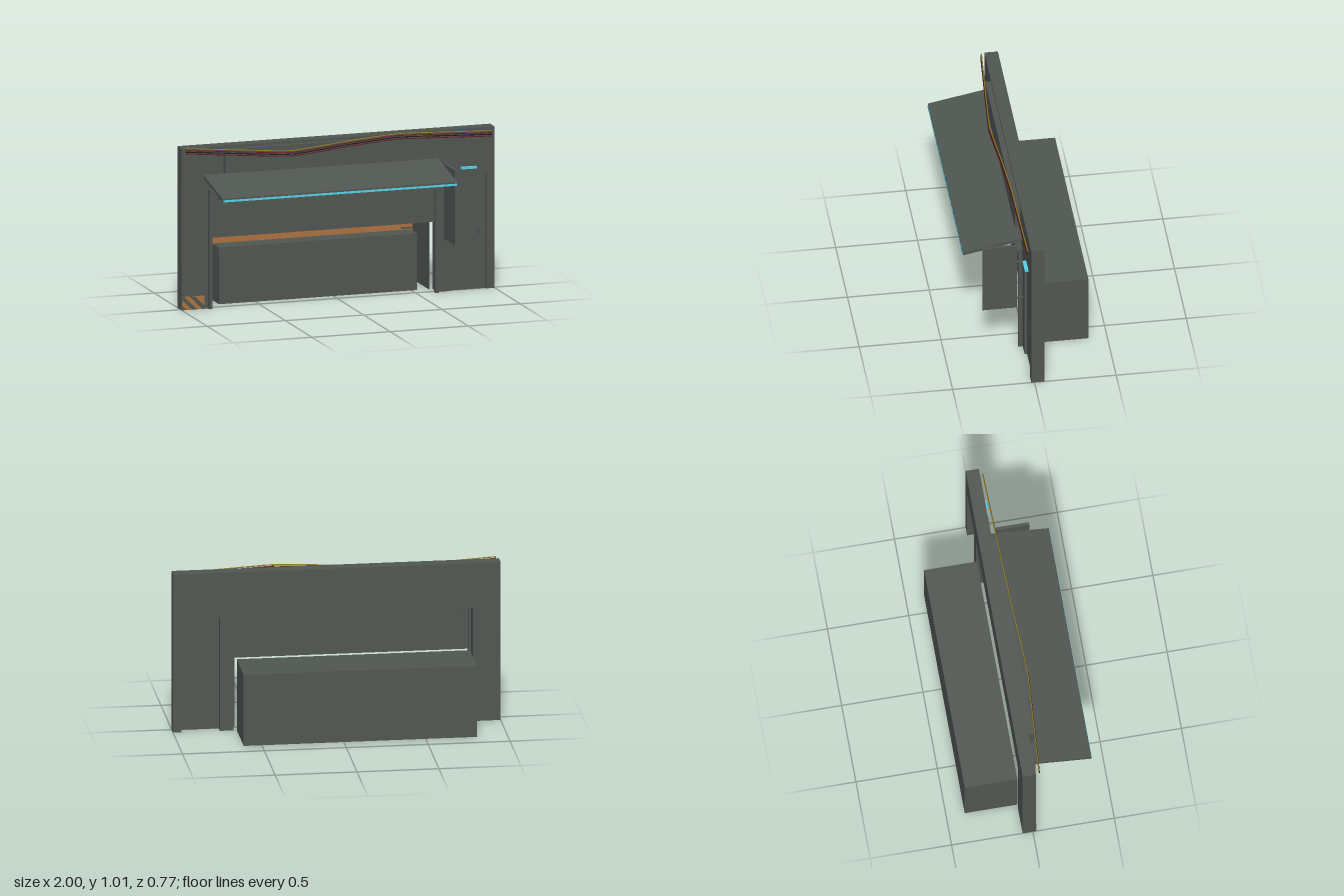
import * as THREE from 'three';

const mat = (name, color) => {
  const m = new THREE.MeshStandardMaterial({ color });
  m.name = name;
  return m;
};

export function createModel() {
  const grey = mat('concrete grey', 0x505652);
  const orange = mat('warm orange', 0xac7140);
  const cyan = mat('cyan light', 0x55d2e8);
  const black = mat('cable black', 0x1f1b1b);
  const maroon = mat('cable maroon', 0x6a2028);
  const olive = mat('cable olive', 0x8f7d22);

  const group = new THREE.Group();
  const add = (name, geo, material) => {
    const m = new THREE.Mesh(geo, material);
    m.name = name;
    group.add(m);
    return m;
  };
  // box given by its min and max on each axis
  const box = (name, x0, x1, y0, y1, z0, z1, material = grey) => {
    const m = add(name, new THREE.BoxGeometry(x1 - x0, y1 - y0, z1 - z0), material);
    m.position.set((x0 + x1) / 2, (y0 + y1) / 2, (z0 + z1) / 2);
    return m;
  };
  const outline = (pts) => new THREE.Shape(pts.map(([x, y]) => new THREE.Vector2(x, y)));

  // facade with the shop opening and the door opening
  const facade = new THREE.ExtrudeGeometry(outline([
    [-1, 0], [-0.83, 0], [-0.83, 0.718], [0.632, 0.718], [0.632, 0], [0.714, 0],
    [0.714, 0.718], [0.948, 0.718], [0.948, 0], [1, 0], [1, 1], [-1, 1],
  ]), { depth: 0.082, bevelEnabled: false });
  facade.translate(0, 0, -0.063);
  add('facadeWall', facade, grey);

  // back room: thin shell, open to the front and below
  box('roomBack', -0.812, 0.611, 0, 0.45, -0.386, -0.378);
  box('roomRoof', -0.812, 0.611, 0.442, 0.45, -0.378, -0.063);
  for (const x of [-0.812, 0.608]) box('roomSide', x, x + 0.003, 0, 0.442, -0.378, -0.063);
  box('roomGlow', -0.809, 0.608, 0, 0.442, -0.378, -0.374, orange);
  box('backShelf', -0.809, 0.608, 0.362, 0.368, -0.374, -0.36, orange);
  for (const x of [-0.809, 0.535]) box('shelfBracket', x, x + 0.073, 0.318, 0.327, -0.374, -0.36);

  // counter
  box('counter', -0.731, 0.534, 0, 0.335, -0.195, -0.072);
  box('counterTop', -0.731, 0.534, 0.335, 0.35, -0.2, -0.076);

  // rolled shutter with slats
  box('shutter', -0.83, 0.632, 0.436, 0.718, 0.014, 0.022);
  for (let i = 0; i < 8; i++) {
    const y = 0.438 + i * 0.035;
    box('shutterSlat', -0.811, 0.614, y, y + 0.028, 0.022, 0.027);
  }
  for (const x of [-0.832, 0.614]) box('shutterTrack', x, x + 0.02, 0, 0.718, 0.012, 0.046);
  box('shutterLintel', -0.832, 0.634, 0.718, 0.738, 0.019, 0.06);

  // sloped awning, its light strip and struts
  const awning = new THREE.ExtrudeGeometry(outline([
    [0.019, 0.808], [0.385, 0.735], [0.385, 0.756], [0.019, 0.829],
  ]), { depth: 1.5, bevelEnabled: false });
  awning.rotateY(-Math.PI / 2);
  awning.translate(0.638, 0, 0);
  add('awning', awning, grey);
  box('awningLight', -0.858, 0.634, 0.733, 0.746, 0.379, 0.387, cyan);
  for (const x of [-0.768, 0.568]) {
    const a = new THREE.Vector3(x, 0.668, -0.002), b = new THREE.Vector3(x, 0.742, 0.355);
    const strut = add('awningStrut', new THREE.BoxGeometry(0.01, 0.01, a.distanceTo(b)), grey);
    strut.position.copy(a).lerp(b, 0.5);
    strut.lookAt(b);
  }

  // header board
  box('headerBoard', -0.732, 0.534, 0.835, 0.985, 0.019, 0.053);

  // blade board on two brackets
  box('bladeBoard', 0.663, 0.681, 0.336, 0.801, 0.061, 0.27);
  for (const y of [0.402, 0.676]) box('bladeBracket', 0.667, 0.677, y - 0.005, y + 0.005, 0.019, 0.061);

  // side door
  box('door', 0.714, 0.948, 0, 0.718, -0.012, 0.003);
  box('doorHandle', 0.9, 0.915, 0.338, 0.376, 0.003, 0.018);
  box('doorLight', 0.782, 0.878, 0.752, 0.765, 0.019, 0.041, cyan);

  // hazard plate with diagonal stripes
  box('hazardPlate', -0.997, -0.855, 0, 0.082, 0.019, 0.022, orange);
  const stripes = [
    [[-0.997, 0], [-0.97, 0], [-0.997, 0.03]],
    [[-0.95, 0.082], [-0.918, 0.082], [-0.855, 0.022], [-0.855, 0], [-0.868, 0]],
    [[-0.997, 0.082], [-0.985, 0.082], [-0.903, 0], [-0.935, 0], [-0.997, 0.064]],
  ];
  for (const pts of stripes) {
    const g = new THREE.ExtrudeGeometry(outline(pts), { depth: 0.001, bevelEnabled: false });
    g.translate(0, 0, 0.022);
    add('hazardStripe', g, grey);
  }

  // bundle of thin cables strung along the top
  const route = [[-0.985, 1.004, 0.04], [-0.33, 0.954, 0.085], [0.05, 0.985, 0.066], [0.38, 1.005, 0.052], [0.975, 0.978, 0.036]];
  [olive, maroon, black, maroon].forEach((material, i) => {
    const pts = route.map(([x, y, z]) => new THREE.Vector3(x, y - i * 0.0105, z + i * 0.001));
    const path = new THREE.CatmullRomCurve3(pts, false, 'catmullrom', 0.15);
    add('cable', new THREE.TubeGeometry(path, 32, 0.0036, 6), material);
  });

  return group;
}
